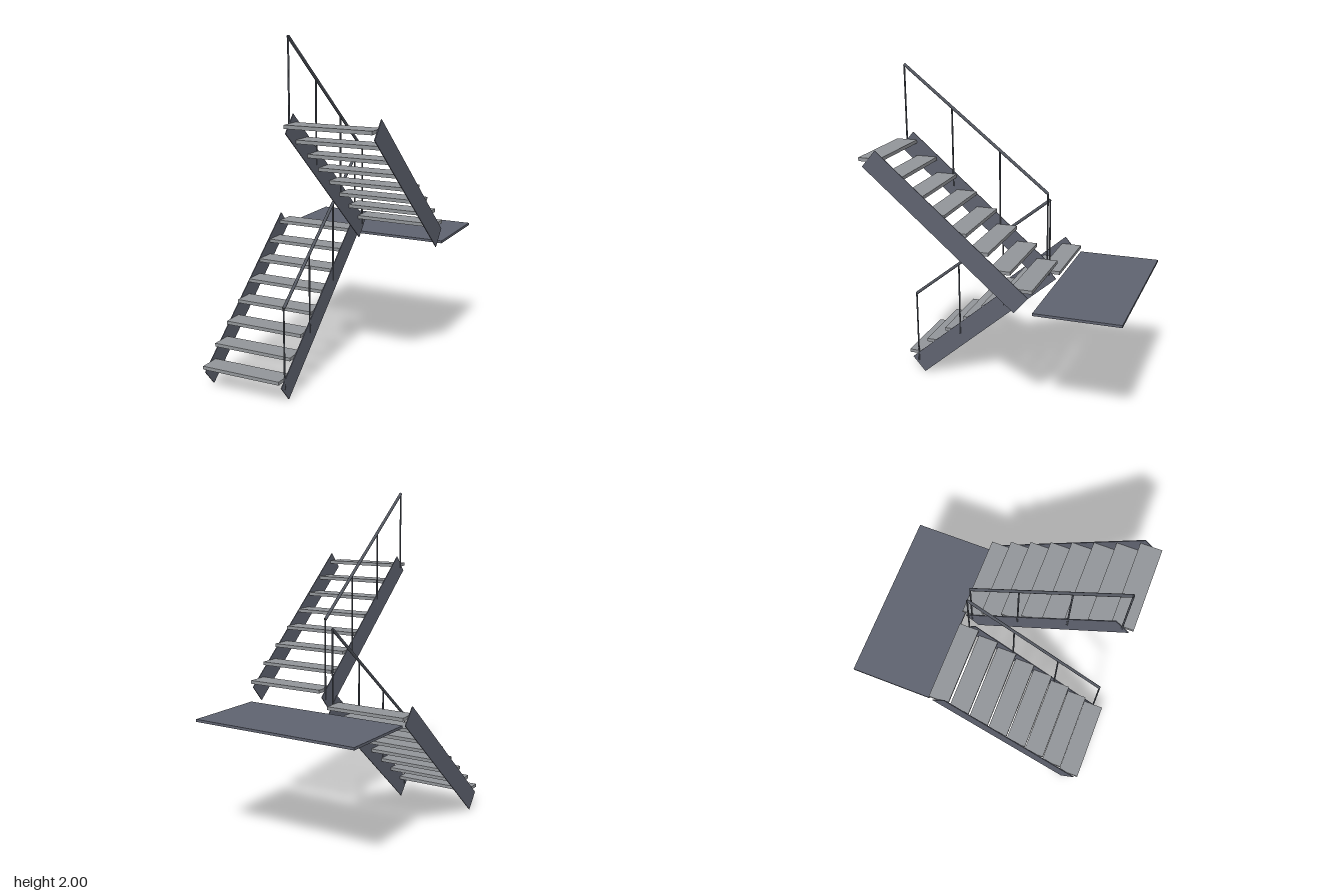
import * as THREE from 'three';

const steel = new THREE.MeshStandardMaterial({ color: 0x5f6370 });
steel.name = 'blue grey steel';
const treadGrey = new THREE.MeshStandardMaterial({ color: 0x93969a });
treadGrey.name = 'tread grey';
const railGrey = new THREE.MeshStandardMaterial({ color: 0x555962 });
railGrey.name = 'rail grey';

const STEPS = 8, RUN = 0.125, RISE = 0.0943, WIDTH = 0.5;

function box(name, w, h, d, mat, x, y, z) {
  const m = new THREE.Mesh(new THREE.BoxGeometry(w, h, d), mat);
  m.name = name;
  m.position.set(x, y, z);
  return m;
}

// Round bar between two points
function bar(name, a, b, radius) {
  const dir = b.clone().sub(a);
  const m = new THREE.Mesh(new THREE.CylinderGeometry(radius, radius, dir.length(), 12), railGrey);
  m.name = name;
  m.position.copy(a).add(b).multiplyScalar(0.5);
  m.quaternion.setFromUnitVectors(new THREE.Vector3(0, 1, 0), dir.normalize());
  return m;
}

// One flight climbing towards +z, with the handrail on its -x side
function flight(name) {
  const g = new THREE.Group();
  g.name = name;

  for (let i = 0; i < STEPS; i++) {
    g.add(box('tread', WIDTH - 0.004, 0.02, RUN, treadGrey, 0, 0.131 + RISE * i, (i - (STEPS - 1) / 2) * RUN));
  }

  // Sloping plates on both sides
  const rise = 0.753, run = 0.875;
  for (const side of [-1, 1]) {
    const s = box('stringer', 0.005, 0.125, Math.hypot(rise, run), steel, side * WIDTH / 2, 0.4235, 0);
    s.rotation.x = -Math.atan2(rise, run);
    g.add(s);
  }

  // Handrail and its four posts
  const x = -WIDTH / 2;
  const low = new THREE.Vector3(x, 0.543, -0.4375);
  const high = new THREE.Vector3(x, 1.242, 0.4375);
  g.add(bar('handrail', low, high, 0.009));
  for (let i = 0; i < 4; i++) {
    const top = low.clone().lerp(high, i / 3);
    const foot = top.clone();
    foot.y -= 0.47;
    g.add(bar('railPost', foot, top, 0.005));
  }
  return g;
}

export function createModel() {
  const model = new THREE.Group();
  model.name = 'switchbackStair';

  // Lower flight is the same flight turned round
  const lower = flight('lowerFlight');
  lower.position.set(-0.275, 0, 0.251);
  lower.rotation.y = Math.PI;

  const upper = flight('upperFlight');
  upper.position.set(0.275, 0.75, 0.251);

  model.add(lower, upper);
  model.add(box('landing', 1.044, 0.015, 0.5, steel, 0, 0.753, -0.5));
  return model;
}
